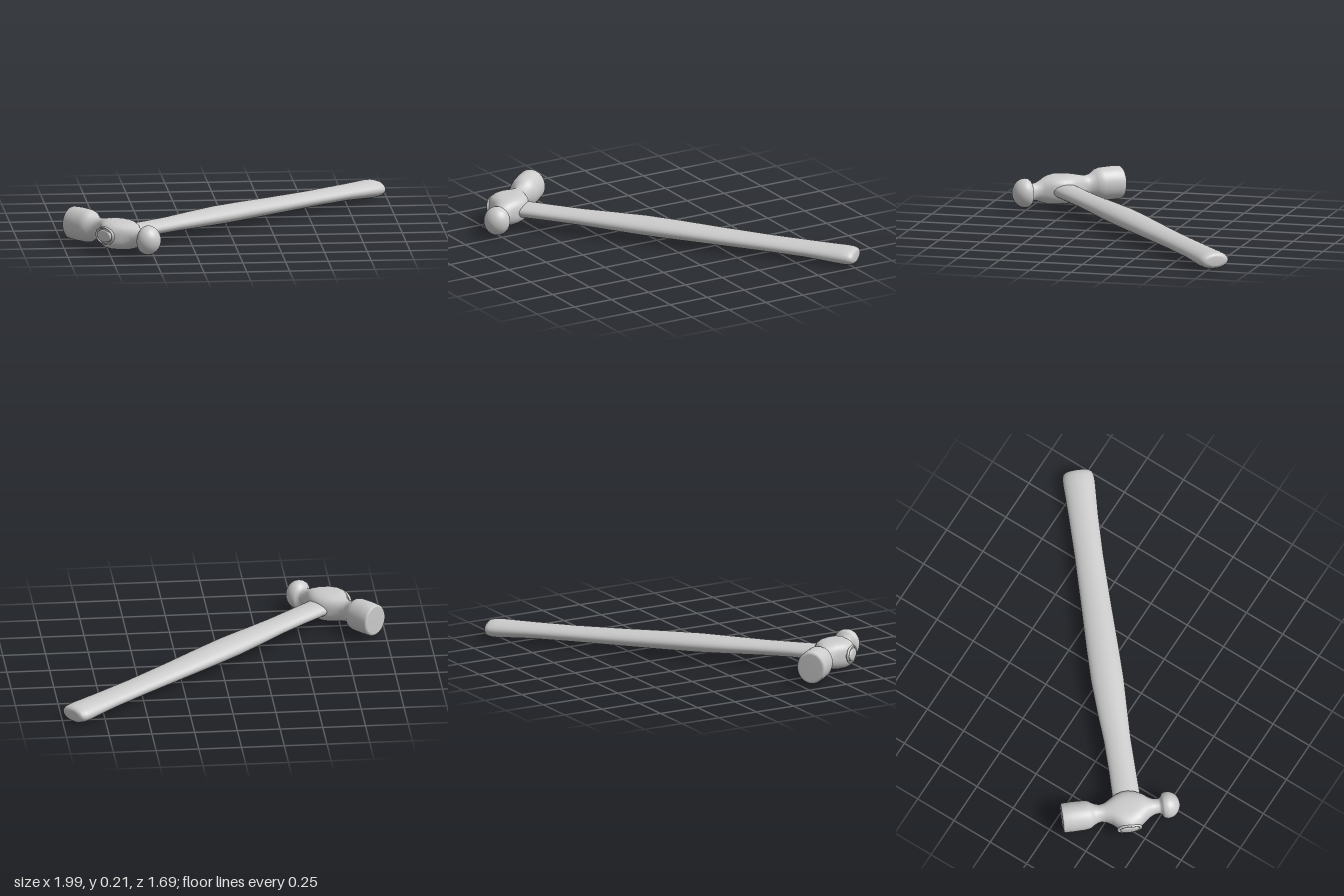
import * as THREE from 'three';

const SIDES = 48;

// Lofts superellipse rings along z; each ring is [z, halfWidth, halfHeight, centreX, centreY, exponent]
function loft(rings) {
  const pos = [], idx = [];
  rings.forEach(([z, a, b, cx, cy, n = 2]) => {
    for (let i = 0; i < SIDES; i++) {
      const t = (i / SIDES) * Math.PI * 2, c = Math.cos(t), s = Math.sin(t);
      pos.push(
        cx + a * Math.sign(c) * Math.abs(c) ** (2 / n),
        cy + b * Math.sign(s) * Math.abs(s) ** (2 / n), z);
    }
  });
  for (let r = 0; r < rings.length - 1; r++) {
    for (let i = 0; i < SIDES; i++) {
      const j = (i + 1) % SIDES, p = r * SIDES, q = p + SIDES;
      idx.push(p + i, p + j, q + j, p + i, q + j, q + i);
    }
  }
  // End caps
  const last = (rings.length - 1) * SIDES;
  [[rings[0], 0, true], [rings[rings.length - 1], last, false]].forEach(([ring, base, flip]) => {
    const centre = pos.length / 3;
    pos.push(ring[3], ring[4], ring[0]);
    for (let i = 0; i < SIDES; i++) {
      const j = (i + 1) % SIDES;
      idx.push(centre, base + (flip ? j : i), base + (flip ? i : j));
    }
  });
  const g = new THREE.BufferGeometry();
  g.setAttribute('position', new THREE.Float32BufferAttribute(pos, 3));
  g.setIndex(idx);
  g.computeVertexNormals();
  return g;
}

export function createModel() {
  const model = new THREE.Group();
  const hammer = new THREE.Group();
  hammer.name = 'hammer';
  hammer.rotation.y = 0.706;
  model.add(hammer);
  const mat = new THREE.MeshStandardMaterial({ color: 0xcccccc });
  const add = (name, geometry) => {
    const m = new THREE.Mesh(geometry, mat);
    m.name = name;
    hammer.add(m);
    return m;
  };

  const headX = -0.903;

  // Head: striking face, neck, flat cheeks, second neck, ball
  const head = [
    [-0.383, 0.070, 0.080, 0, 0.112],
    [-0.382, 0.080, 0.089, 0, 0.112],
    [-0.374, 0.086, 0.096, 0, 0.112],
    [-0.32, 0.087, 0.099, 0, 0.112],
    [-0.25, 0.085, 0.098, 0, 0.111],
    [-0.222, 0.080, 0.092, 0, 0.110],
    [-0.205, 0.068, 0.080, 0, 0.109],
    [-0.18, 0.055, 0.068, 0, 0.108],
    [-0.155, 0.050, 0.064, 0, 0.107],
    [-0.125, 0.056, 0.068, 0, 0.106, 2.2],
    [-0.09, 0.076, 0.076, 0, 0.105, 2.5],
    [-0.055, 0.102, 0.082, -0.006, 0.104, 2.8],
    [-0.02, 0.116, 0.084, -0.010, 0.103, 3],
    [0.02, 0.119, 0.084, -0.011, 0.103, 3],
    [0.06, 0.107, 0.083, -0.008, 0.102, 2.8],
    [0.1, 0.080, 0.078, 0, 0.101, 2.5],
    [0.13, 0.058, 0.067, 0, 0.100, 2.2],
    [0.16, 0.045, 0.054, 0, 0.099],
    [0.188, 0.043, 0.050, 0, 0.098],
    [0.2, 0.050, 0.058, 0, 0.097],
    [0.208, 0.066, 0.075, 0, 0.097],
    [0.218, 0.074, 0.083, 0, 0.097],
  ];
  // Rounded ball end
  for (let i = 0; i <= 12; i++) {
    const t = (i / 12) * Math.PI * 0.495;
    head.push([0.235 + 0.076 * Math.sin(t), 0.078 * Math.cos(t), 0.086 * Math.cos(t), 0, 0.097]);
  }
  add('head', loft(head)).position.x = headX;

  // Handle: oval shaft with a swell in the middle and a rounded butt
  const handle = loft([
    [-1.034, 0.044, 0.028, 0, 0.106],
    [-1.030, 0.054, 0.035, 0, 0.106],
    [-1.015, 0.060, 0.040, 0, 0.106],
    [-0.87, 0.068, 0.042, 0, 0.104],
    [-0.835, 0.074, 0.042, -0.005, 0.102],
    [-0.82, 0.081, 0.043, -0.008, 0.101],
    [-0.65, 0.079, 0.042, -0.008, 0.098],
    [-0.47, 0.079, 0.043, -0.006, 0.094],
    [-0.28, 0.088, 0.048, -0.003, 0.090],
    [-0.08, 0.096, 0.052, -0.002, 0.086],
    [0.12, 0.094, 0.051, -0.002, 0.081],
    [0.4, 0.088, 0.047, -0.003, 0.073],
    [0.7, 0.084, 0.044, -0.005, 0.066],
    [0.95, 0.087, 0.045, -0.008, 0.061],
    [1.08, 0.091, 0.049, -0.011, 0.056],
    [1.16, 0.094, 0.052, -0.012, 0.053],
    [1.2, 0.092, 0.050, -0.012, 0.052],
    [1.222, 0.084, 0.044, -0.012, 0.052],
    [1.232, 0.070, 0.035, -0.012, 0.052],
    [1.235, 0.050, 0.025, -0.012, 0.052],
  ]);
  add('handle', handle.rotateY(Math.PI / 2));

  // Oval rim around the eye where the handle tip shows
  const rim = add('eyeRim', new THREE.TorusGeometry(0.066, 0.008, 12, SIDES));
  rim.rotation.y = Math.PI / 2;
  rim.scale.set(1, 0.72, 1);
  rim.position.set(-1.02, 0.106, 0);

  return model;
}
